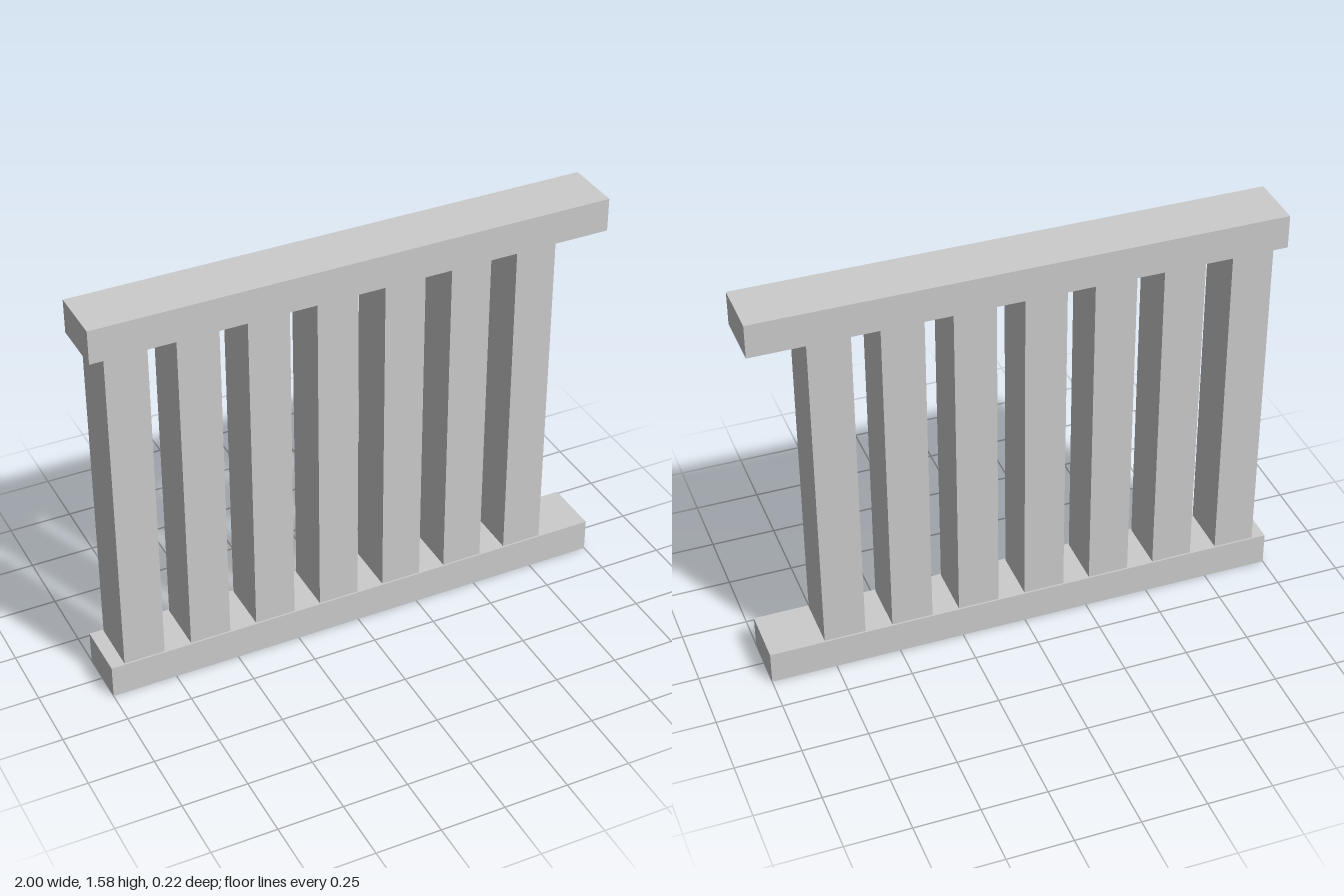
import * as THREE from 'three';

export function createModel() {
  const model = new THREE.Group();
  model.name = 'railing';
  const material = new THREE.MeshStandardMaterial({ color: 0xcccccc, flatShading: true });

  const height = 1.58, railHeight = 0.13, railDepth = 0.222;
  const slatCount = 7, slatWidth = 0.158, slatDepth = 0.208;
  const firstSlat = -0.868, slatStep = 0.263;

  function addBox(name, w, h, d, x, y) {
    const mesh = new THREE.Mesh(new THREE.BoxGeometry(w, h, d), material);
    mesh.name = name;
    mesh.position.set(x, y, 0);
    model.add(mesh);
  }

  // Horizontal rails
  addBox('bottomRail', 2, railHeight, railDepth, 0, railHeight / 2);
  addBox('topRail', 2, railHeight, railDepth, 0, height - railHeight / 2);

  // Upright slats, set slightly towards one end of the rails
  for (let i = 0; i < slatCount; i++) {
    addBox(`slat${i + 1}`, slatWidth, height - 2 * railHeight, slatDepth, firstSlat + i * slatStep, height / 2);
  }

  return model;
}
